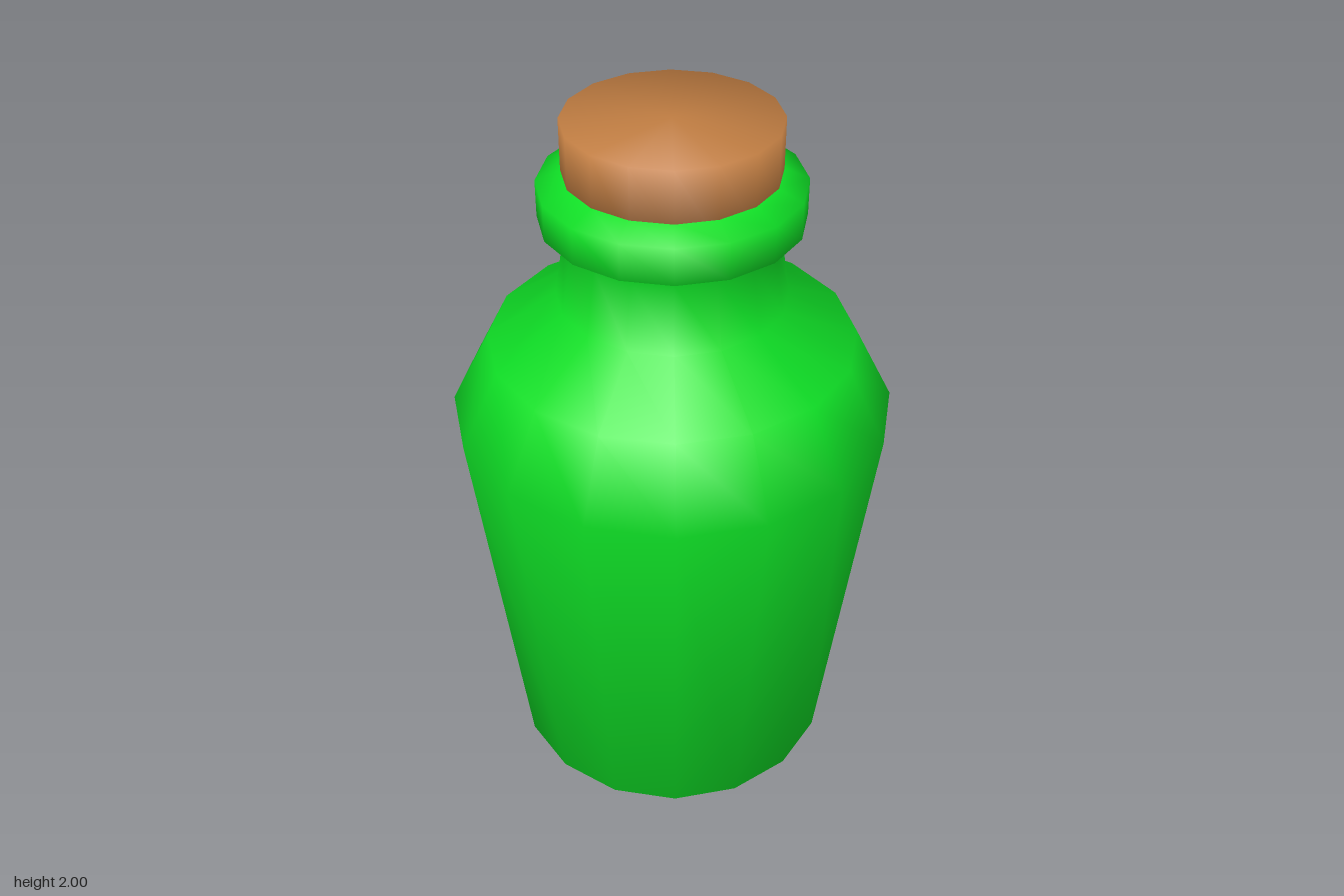
import * as THREE from 'three';

const SIDES = 16;

// Smooth turned part from [radius, height] pairs, bottom to top
function turned(name, profile, material) {
  const points = profile.map(([r, y]) => new THREE.Vector2(r, y));
  const mesh = new THREE.Mesh(new THREE.LatheGeometry(points, SIDES), material);
  mesh.name = name;
  return mesh;
}

export function createModel() {
  const glass = new THREE.MeshStandardMaterial({ color: 0x0fe026 });
  glass.name = 'green glass';
  const corkBrown = new THREE.MeshStandardMaterial({ color: 0xc07d42 });
  corkBrown.name = 'cork brown';

  const bottle = new THREE.Group();
  bottle.name = 'corkedBottle';

  // Base, tapered body, shoulder, neck and flared lip
  bottle.add(turned('bottleBody', [
    [0, 0], [0.475, 0], [0.608, 1.16], [0.5, 1.37], [0.31, 1.5],
    [0.28, 1.69], [0.348, 1.73], [0.348, 1.83], [0.28, 1.86],
  ], glass));

  // Stopper seated in the lip
  bottle.add(turned('cork', [
    [0, 1.8], [0.282, 1.8], [0.282, 2], [0, 2],
  ], corkBrown));

  return bottle;
}
